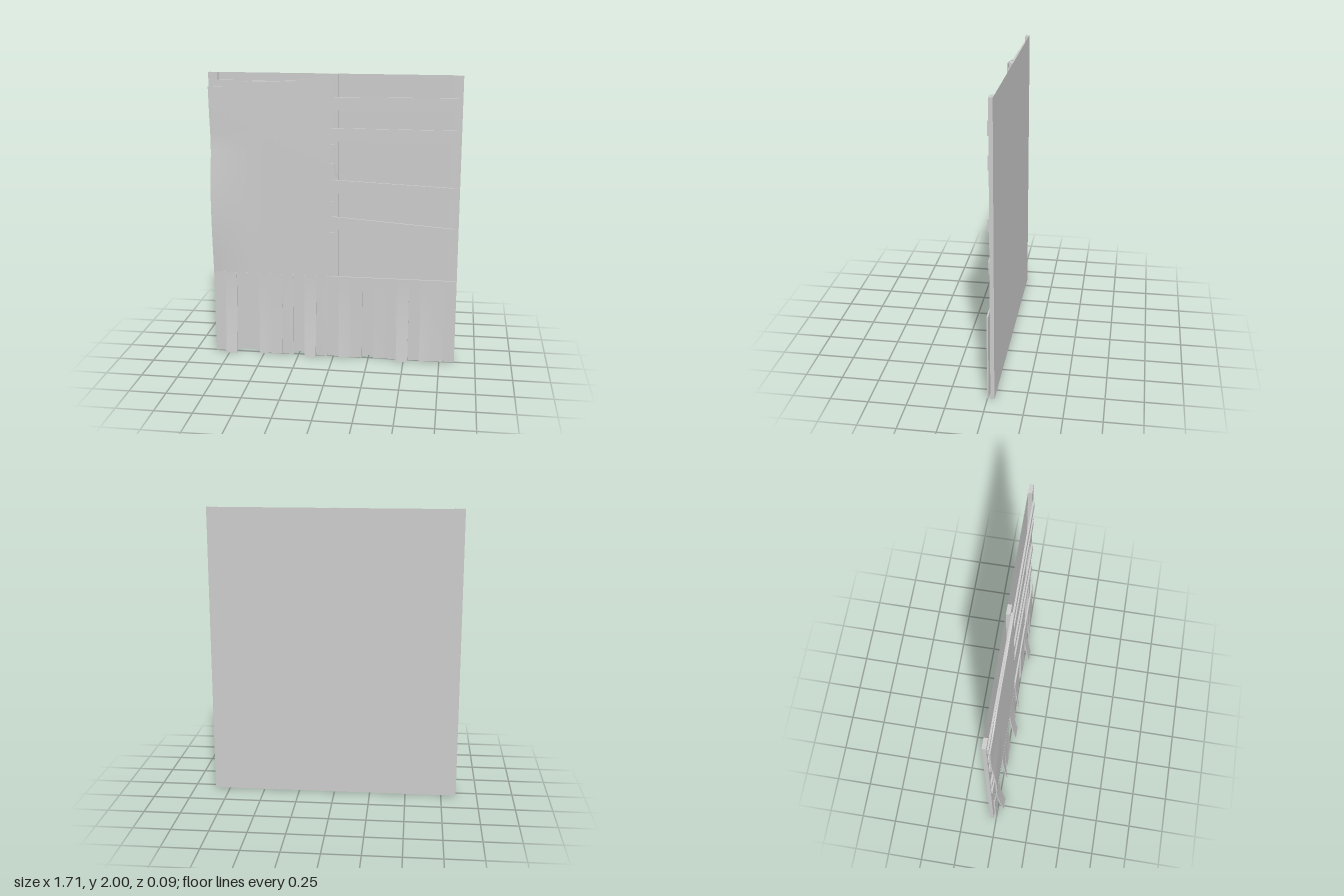
import * as THREE from 'three';

const grey = new THREE.MeshStandardMaterial({ color: 0xcccccc });
const thin = new THREE.MeshStandardMaterial({ color: 0xcccccc, side: THREE.DoubleSide });

const W = 1.71, BACK = -0.046, STUD_FRONT = -0.02, LATH_FRONT = -0.008;

export function createModel() {
  const model = new THREE.Group();

  const add = (name, geometry, x = 0, y = 0, z = 0, material = grey) => {
    const mesh = new THREE.Mesh(geometry, material);
    mesh.name = name;
    mesh.position.set(x, y, z);
    model.add(mesh);
    return mesh;
  };

  // box whose vertices are moved by a rule taking u, v in 0..1 and the local z
  const warpedBox = (depth, nx, ny, rule) => {
    const g = new THREE.BoxGeometry(1, 1, depth, nx, ny, 1);
    const p = g.attributes.position;
    for (let i = 0; i < p.count; i++) {
      p.setXYZ(i, ...rule(p.getX(i) + 0.5, p.getY(i) + 0.5, p.getZ(i)));
    }
    g.computeVertexNormals();
    return g;
  };

  // linear interpolation through [position, value] points
  const sample = (points, t) => {
    for (let i = 1; i < points.length; i++) {
      const [a, va] = points[i - 1], [b, vb] = points[i];
      if (t <= b) return va + (vb - va) * (t - a) / (b - a);
    }
    return points[points.length - 1][1];
  };

  // thin back sheet
  add('backSheet', new THREE.PlaneGeometry(W, 2), 0, 1, BACK, thin);

  // upright studs
  const studDepth = STUD_FRONT - BACK;
  for (const x of [-0.822, 0, 0.822]) {
    add('stud', new THREE.BoxGeometry(0.065, 2, studDepth), x, 1, BACK + studDepth / 2);
  }

  // laths: x and y of both ends
  const lathDepth = LATH_FRONT - STUD_FRONT;
  const lath = (x0, y0, x1, y1) => {
    const g = new THREE.BoxGeometry(Math.hypot(x1 - x0, y1 - y0), 0.089, lathDepth);
    const mesh = add('lath', g, (x0 + x1) / 2, (y0 + y1) / 2, STUD_FRONT + lathDepth / 2);
    mesh.rotation.z = Math.atan2(y1 - y0, x1 - x0);
  };
  // whole laths behind the plaster
  for (const y of [1.907, 1.7, 1.483, 1.085, 0.868]) lath(-0.845, y, 0.005, y);
  // exposed laths, some sagging
  lath(-0.015, 1.803, 0.826, 1.81);
  lath(-0.015, 1.595, 0.82, 1.595);
  lath(-0.015, 1.24, 0.835, 1.205);
  lath(-0.015, 0.982, 0.826, 0.922);

  // snapped lath end
  const snapped = new THREE.Shape([
    [-0.3, 1.31], [0.018, 1.31], [0.002, 1.4], [-0.3, 1.4],
  ].map(([x, y]) => new THREE.Vector2(x, y)));
  add('snappedLath', new THREE.ExtrudeGeometry(snapped, { depth: lathDepth, bevelEnabled: false }), 0, 0, STUD_FRONT);

  // plaster sheet with torn top, wavy outer edge and a bulge along that edge
  const tornTop = [[0, 1.905], [0.12, 1.905], [0.3, 1.942], [0.66, 1.945], [0.95, 1.985], [1, 1.985]];
  const outerEdge = [[0, -0.855], [0.5, -0.855], [0.68, -0.846], [0.85, -0.852], [1, -0.855]];
  add('plasterSheet', warpedBox(0.009, 24, 28, (u, v, z) => {
    const left = sample(outerEdge, v);
    const x = left + (-0.02 - left) * u;
    const y = 0.597 + (sample(tornTop, u) - 0.597) * v;
    const rise = Math.sin(Math.PI * THREE.MathUtils.clamp((y - 0.6) / 0.92, 0, 1));
    const fade = Math.max(0, 1 - u / 0.4);
    return [x, y, z + 0.025 * rise * fade ** 1.3];
  }), 0, 0, -0.0035);

  // rail above the lower planks
  add('rail', new THREE.BoxGeometry(W, 0.018, 0.011), 0, 0.588, -0.0035);

  // lower planks: some missing, some curling out at the foot (left, right amount)
  const count = 21, pitch = W / count;
  const missing = [2, 3, 7, 13];
  const curl = {
    1: [0.043, 0.043], 4: [0.03, 0.004], 5: [0.013, 0.013], 6: [0.003, 0.014],
    8: [0.043, 0.043], 9: [0, 0.013], 11: [0.029, 0.004], 12: [0.002, 0.002],
    14: [0.008, 0.002], 15: [0, 0.007], 16: [0.043, 0.043], 18: [0.029, 0.004], 19: [0.01, 0.003],
  };
  for (let k = 0; k < count; k++) {
    if (missing.includes(k)) continue;
    const [a, b] = curl[k] || [0, 0];
    const x0 = -W / 2 + k * pitch;
    add('plank', warpedBox(0.009, 2, 12, (u, v, z) => [
      x0 + u * pitch, v * 0.58, z + (a + (b - a) * u) * (1 - v) ** 1.7,
    ]), 0, 0, -0.0035);
  }

  return model;
}
